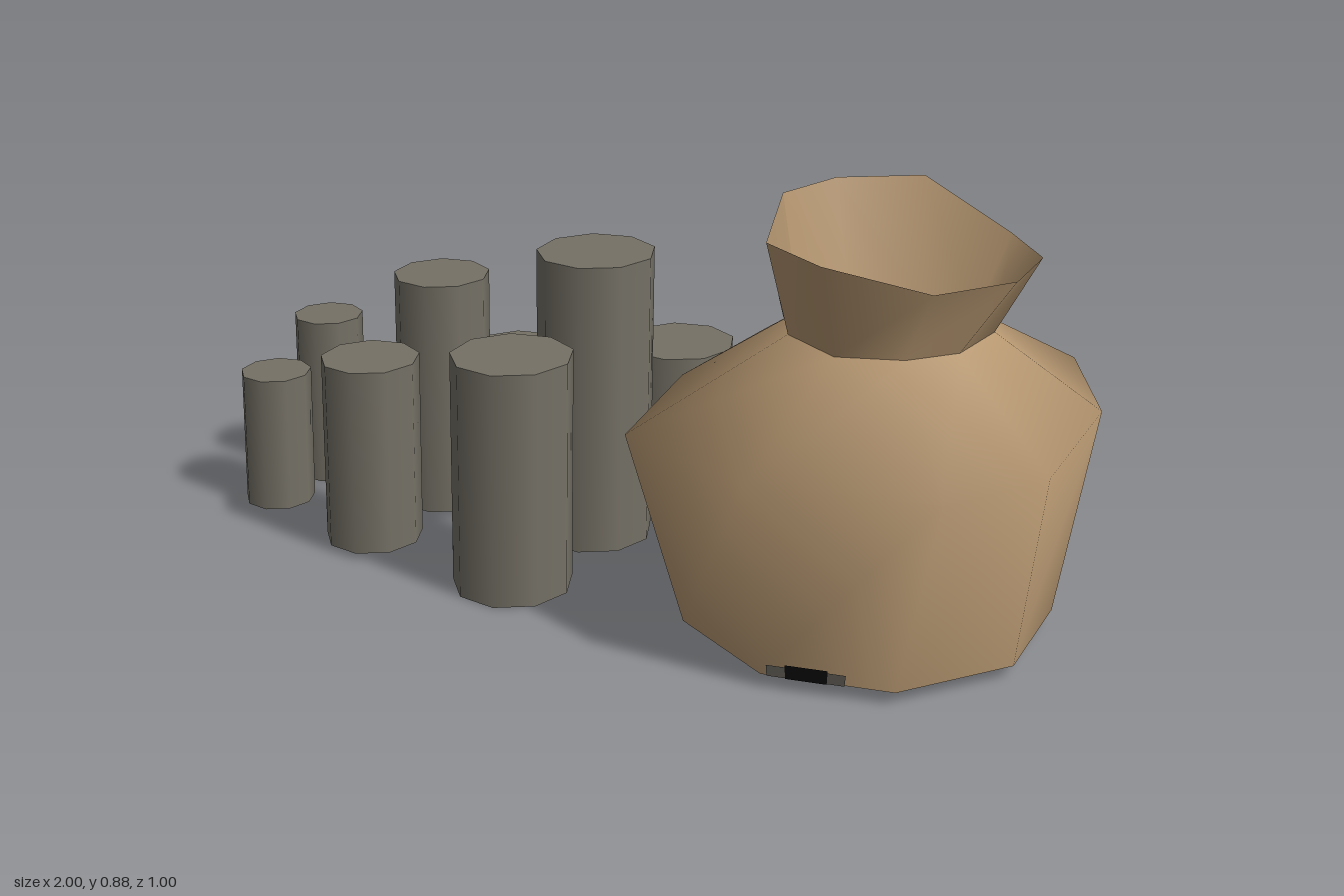
import * as THREE from 'three';

const mat = (name, color, side = THREE.DoubleSide) => {
  const m = new THREE.MeshStandardMaterial({ color, side });
  m.name = name;
  return m;
};

// Pot cross-sections, nine corners each, as [x, y, z]
const N = 9;
const base = Array.from({ length: N }, (_, i) => {
  const a = THREE.MathUtils.degToRad(215 + 40 * i);
  return [0.557 + 0.4 * Math.cos(a), 0.03, 0.037 + 0.4 * Math.sin(a)];
});
const at = (y, pts) => pts.map(([x, z]) => [x, y, z]);
const shoulder = at(0.465, [[0.12, -0.315], [0.435, -0.475], [0.8, -0.5], [0.965, -0.22], [1, 0.165],
  [0.875, 0.39], [0.515, 0.5], [0.185, 0.405], [0.11, 0.05]]);
const neck = at(0.64, [[0.405, -0.16], [0.55, -0.225], [0.68, -0.205], [0.765, -0.1], [0.755, 0.055],
  [0.68, 0.15], [0.55, 0.205], [0.41, 0.135], [0.36, -0.01]]);
const rim = [[0.345, 0.885, -0.2], [0.5, 0.885, -0.315], [0.71, 0.79, -0.305], [0.83, 0.79, -0.175],
  [0.845, 0.79, 0], [0.74, 0.79, 0.165], [0.555, 0.85, 0.285], [0.39, 0.85, 0.2], [0.305, 0.885, -0.03]];

// Skins a stack of rings; the seam runs down the last corner
function loft(rings) {
  const pos = [], idx = [], w = N + 1;
  for (const r of rings) for (let i = 0; i < w; i++) pos.push(...r[(i + N - 1) % N]);
  for (let j = 0; j < rings.length - 1; j++) {
    for (let i = 0; i < N; i++) {
      const a = j * w + i, b = a + 1, c = a + w, d = c + 1;
      idx.push(a, c, b, b, c, d);
    }
  }
  const g = new THREE.BufferGeometry();
  g.setAttribute('position', new THREE.Float32BufferAttribute(pos, 3));
  g.setIndex(idx);
  g.computeVertexNormals();
  return g;
}

// Thin patch on the facet between corners i and i+1 of two rings
function patch(lower, upper, i, [u0, u1], [v0, v1], offset) {
  const V = (r, k) => new THREE.Vector3(...r[k % N]);
  const point = (u, v) => V(lower, i).lerp(V(lower, i + 1), u)
    .lerp(V(upper, i).lerp(V(upper, i + 1), u), v);
  const c = [point(u0, v0), point(u0, v1), point(u1, v0), point(u1, v1)];
  const n = c[1].clone().sub(c[0]).cross(c[2].clone().sub(c[0])).normalize().multiplyScalar(offset);
  const g = new THREE.BufferGeometry().setFromPoints(c.map(p => p.clone().add(n)));
  g.setIndex([0, 1, 2, 2, 1, 3]);
  g.computeVertexNormals();
  return g;
}

// Nine-sided pillar, open below, leaning slightly
function pillar(r, y0, y1) {
  const g = new THREE.CylinderGeometry(r, r, y1 - y0, N, 1, false, THREE.MathUtils.degToRad(176));
  g.setIndex(Array.from(g.index.array).slice(0, -3 * N));
  g.clearGroups();
  const p = g.attributes.position;
  for (let i = 0; i < p.count; i++) if (p.getY(i) < 0) p.setX(i, p.getX(i) - 0.012);
  g.translate(0, (y0 + y1) / 2, 0);
  return g;
}

export function createModel() {
  const model = new THREE.Group();
  model.name = 'potAndPillars';
  const clay = mat('clay', 0xb59670);
  const stone = mat('stone', 0x757166);
  const soot = mat('soot', 0x0c0c0c);
  const ash = mat('ash', 0x68645c);
  const add = (parent, name, geo, m) => {
    const mesh = new THREE.Mesh(geo, m);
    mesh.name = name;
    parent.add(mesh);
    return mesh;
  };

  // Open-bottomed pot with a broken rim
  const pot = new THREE.Group();
  pot.name = 'pot';
  model.add(pot);
  add(pot, 'potBody', loft([base, shoulder, neck]), clay);
  add(pot, 'potNeck', loft([neck, rim]), clay);

  // Stains, on both the outside and the inside of the wall
  for (const s of [1, -1]) {
    add(pot, 'frontStain', patch(base, shoulder, 5, [0.5, 0.81], [0, 0.075], 0.005 * s), soot);
    add(pot, 'frontStainEdge', patch(base, shoulder, 5, [0.37, 0.95], [0, 0.06], 0.003 * s), ash);
    add(pot, 'backStain', patch(base, shoulder, 1, [0.17, 0.45], [0, 0.075], 0.005 * s), soot);
    add(pot, 'backStainEdge', patch(base, shoulder, 1, [0.08, 0.56], [0, 0.055], 0.003 * s), ash);
    add(pot, 'neckStain', patch(neck, rim, 7, [0.08, 0.85], [0.16, 0.4], 0.004 * s), ash);
  }

  // Three rows of pillars: x, z, radius, bottom, top
  const rows = {
    smallPillar: [[-0.905, -0.18, 0.083, 0, 0.225], [-0.91, 0.022, 0.083, 0, 0.415], [-0.912, 0.22, 0.083, 0, 0.33]],
    mediumPillar: [[-0.54, -0.255, 0.112, 0.015, 0.315], [-0.555, 0.027, 0.112, 0.015, 0.58],
      [-0.56, 0.295, 0.112, 0.015, 0.455]],
    largePillar: [[-0.14, -0.36, 0.135, 0, 0.37], [-0.157, -0.022, 0.135, 0, 0.685], [-0.162, 0.305, 0.135, 0, 0.54]],
  };
  for (const [name, row] of Object.entries(rows)) {
    row.forEach(([x, z, r, y0, y1], k) => {
      add(model, name + (k + 1), pillar(r, y0, y1), stone).position.set(x, 0, z);
    });
  }
  return model;
}
